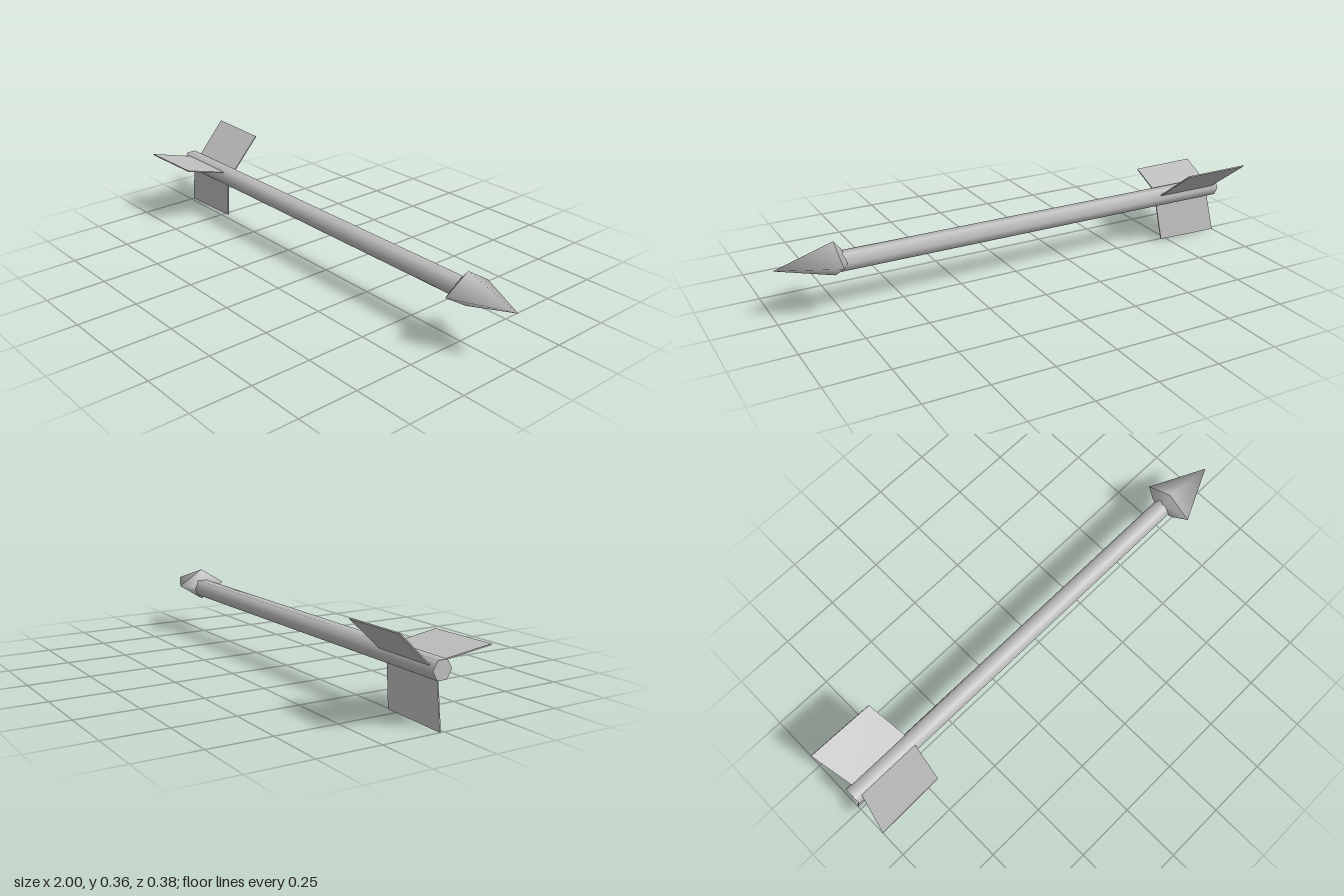
import * as THREE from 'three';

// Builds a mesh from corner points and faces; shared corners shade smoothly
function facetMesh(name, points, index, material) {
  const g = new THREE.BufferGeometry();
  g.setAttribute('position', new THREE.Float32BufferAttribute(points.flat(), 3));
  g.setIndex(index);
  g.computeVertexNormals();
  const m = new THREE.Mesh(g, material);
  m.name = name;
  return m;
}

export function createModel() {
  const arrow = new THREE.Group();
  arrow.name = 'arrow';
  const grey = new THREE.MeshStandardMaterial({ color: 0xc0c0c0 });
  grey.name = 'plain grey';

  // Six-sided shaft along x
  const shaft = new THREE.Mesh(new THREE.CylinderGeometry(0.04, 0.04, 1.75, 6), grey);
  shaft.name = 'shaft';
  shaft.rotation.z = -Math.PI / 2;
  shaft.position.set(-0.115, 0.21, -0.008);
  arrow.add(shaft);

  // Diamond-section head: rings run top, +z, bottom, -z
  const diamond = (x, y, ry, rz) => [[x, y + ry, 0], [x, y, rz], [x, y - ry, 0], [x, y, -rz]];
  const rim = diamond(0.767, 0.222, 0.069, 0.11);
  const back = diamond(0.735, 0.215, 0.035, 0.055);
  const pointFaces = [], backFaces = [];
  for (let i = 0; i < 4; i++) {
    const j = (i + 1) % 4;
    pointFaces.push(i, j, 4);
    backFaces.push(i, 4 + i, j, j, 4 + i, 4 + j);
  }
  backFaces.push(4, 7, 6, 4, 6, 5);
  const head = new THREE.Group();
  head.name = 'arrowhead';
  head.add(facetMesh('headPoint', [...rim, [1, 0.22, 0]], pointFaces, grey));
  head.add(facetMesh('headBack', [...rim, ...back], backFaces, grey));
  arrow.add(head);

  // Three thin swept fins: root and tip given as [y, z]
  const fins = [
    { name: 'frontFin', root: [0.234, 0.02], tip: [0.273, 0.19] },
    { name: 'backFin', root: [0.222, -0.035], tip: [0.355, -0.192] },
    { name: 'lowerFin', root: [0.18, -0.004], tip: [0.002, -0.017] },
  ];
  for (const { name, root, tip } of fins) {
    const dy = tip[0] - root[0], dz = tip[1] - root[1];
    const span = Math.hypot(dy, dz);
    const outline = new THREE.Shape([
      new THREE.Vector2(-0.962, 0), new THREE.Vector2(-0.688, 0),
      new THREE.Vector2(-0.718, span - 0.006), new THREE.Vector2(-1, span),
    ]);
    const g = new THREE.ExtrudeGeometry(outline, { depth: 0.005, bevelEnabled: false });
    g.translate(0, 0, -0.0025);
    const fin = new THREE.Mesh(g, grey);
    fin.name = name;
    fin.rotation.x = Math.atan2(dz, dy);
    fin.position.set(0, root[0], root[1]);
    arrow.add(fin);
  }
  return arrow;
}
